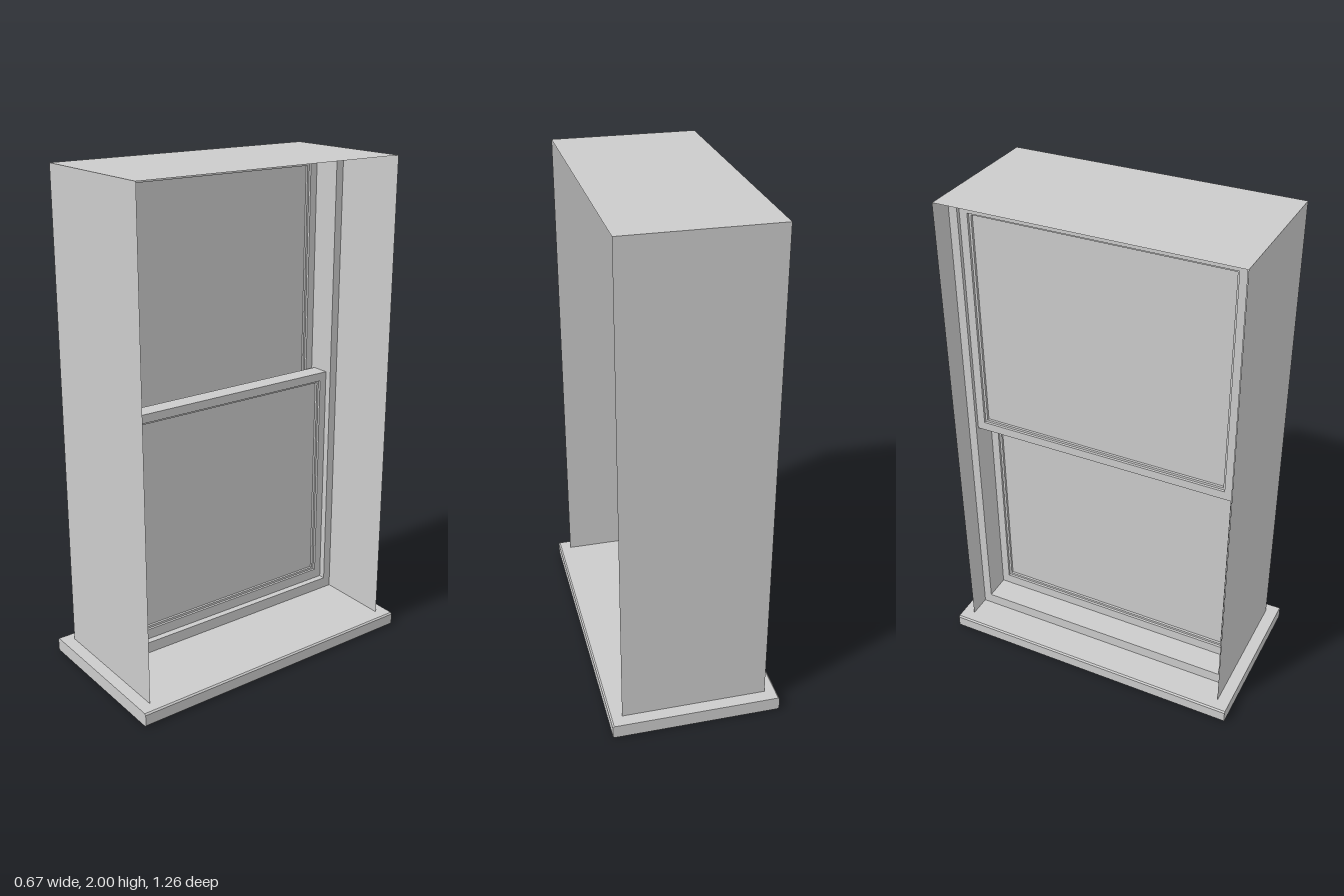
import * as THREE from 'three';

const grey = new THREE.MeshStandardMaterial({ color: 0xcccccc, flatShading: true });
const thin = new THREE.MeshStandardMaterial({ color: 0xcccccc, flatShading: true, side: THREE.DoubleSide });

function add(parent, name, geometry, material = grey) {
  const mesh = new THREE.Mesh(geometry, material);
  mesh.name = name;
  parent.add(mesh);
  return mesh;
}

// Box given by its limits on each axis
function block(parent, name, [x0, x1], [y0, y1], [z0, z1]) {
  const mesh = add(parent, name, new THREE.BoxGeometry(x1 - x0, y1 - y0, z1 - z0));
  mesh.position.set((x0 + x1) / 2, (y0 + y1) / 2, (z0 + z1) / 2);
  return mesh;
}

function trace(path, halfWidth, y0, y1) {
  path.moveTo(-halfWidth, y0);
  path.lineTo(halfWidth, y0);
  path.lineTo(halfWidth, y1);
  path.lineTo(-halfWidth, y1);
  path.closePath();
  return path;
}

// Rectangular ring in the z-y plane between two x values
// outer and inner are [halfWidth, bottom, top]
function ring(parent, name, [x0, x1], outer, inner) {
  const shape = trace(new THREE.Shape(), ...outer);
  shape.holes.push(trace(new THREE.Path(), ...inner));
  const geo = new THREE.ExtrudeGeometry(shape, { depth: x1 - x0, bevelEnabled: false });
  geo.rotateY(-Math.PI / 2).translate(x1, 0, 0);
  return add(parent, name, geo);
}

// Sash: rails and stiles, a recessed bead and the pane
function sash(name, [x0, x1], y0, y1, bottomRail) {
  const g = new THREE.Group();
  g.name = name;
  const w = 0.545, opening = [0.513, y0 + bottomRail, y1 - 0.035];
  const bead = [opening[0] - 0.009, opening[1] + 0.009, opening[2] - 0.009];
  ring(g, 'sashFrame', [x0, x1], [w, y0, y1], opening);
  ring(g, 'glazingBead', [x0 + 0.01, x1 - 0.01], opening, bead);
  const mid = (x0 + x1) / 2;
  block(g, 'pane', [mid - 0.004, mid + 0.004], [bead[1], bead[2]], [-bead[0], bead[0]]);
  return g;
}

export function createModel() {
  const model = new THREE.Group();
  model.name = 'sashWindow';

  // Sill board with chamfered long edges
  const sx = 0.337, c = 0.006, top = 0.056;
  const profile = new THREE.Shape([
    [-sx + c, 0], [sx - c, 0], [sx, c], [sx, top - c],
    [sx - c, top], [-sx + c, top], [-sx, top - c], [-sx, c],
  ].map(([x, y]) => new THREE.Vector2(x, y)));
  const sill = new THREE.ExtrudeGeometry(profile, { depth: 1.26, bevelEnabled: false });
  add(model, 'sill', sill.translate(0, 0, -0.63));

  // Thin lining of the wall opening: two sides and a head
  const lining = new THREE.Group();
  lining.name = 'lining';
  for (const s of [-1, 1]) {
    const side = add(lining, 'jambLining', new THREE.PlaneGeometry(0.58, 2 - top), thin);
    side.position.set(0, (2 + top) / 2, s * 0.58);
    if (s < 0) side.rotation.y = Math.PI;
  }
  const head = add(lining, 'headLining', new THREE.PlaneGeometry(0.58, 1.16), thin);
  head.rotation.x = -Math.PI / 2;
  head.position.y = 2;
  model.add(lining);

  // Fixed frame that carries both sashes
  ring(model, 'windowFrame', [-0.197, -0.015], [0.579, top, 1.999], [0.545, 0.102, 1.966]);

  // Lower sash on the +x side, upper sash behind it
  const lower = sash('lowerSash', [-0.09, -0.042], 0.102, 1.07, 0.042);
  block(lower, 'meetingRailLip', [-0.118, -0.09], [1.035, 1.07], [-0.545, 0.545]);
  const upper = sash('upperSash', [-0.182, -0.135], 1.0, 1.966, 0.035);
  model.add(lower, upper);

  return model;
}
